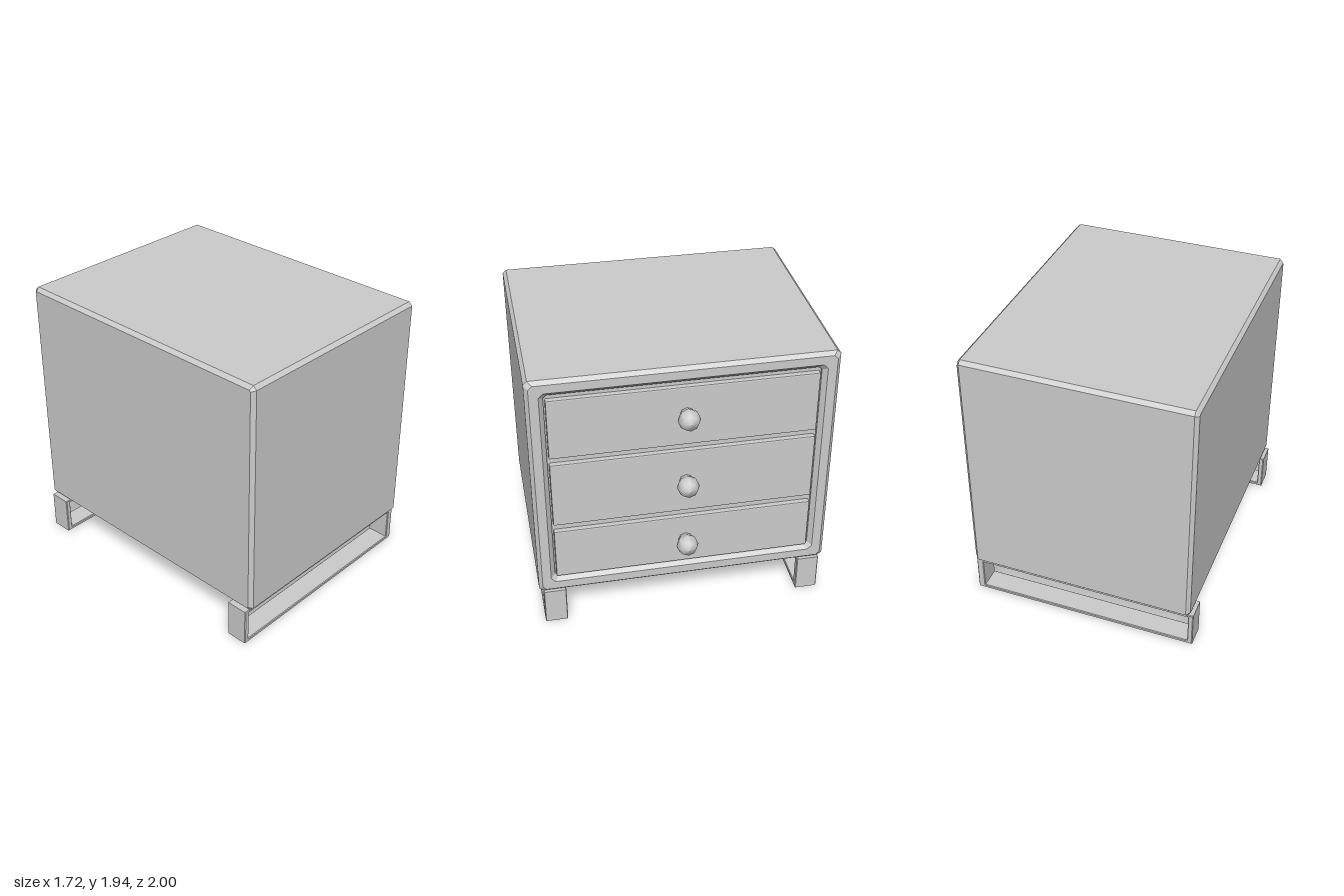
import * as THREE from 'three';
import { RoundedBoxGeometry } from 'three/addons/geometries/RoundedBoxGeometry.js';

const flat = new THREE.MeshStandardMaterial({ color: 0xcccccc, flatShading: true });
const smooth = new THREE.MeshStandardMaterial({ color: 0xcccccc });

const BOTTOM = 0.265, TOP = 1.94, HALF = 1;

function addMesh(parent, geometry, material, name) {
  const mesh = new THREE.Mesh(geometry, material);
  mesh.name = name;
  parent.add(mesh);
  return mesh;
}

// Rectangle with cut corners in the plane at x, counterclockwise seen from +x
function ring([x, inset, cut]) {
  const h = HALF - inset, lo = BOTTOM + inset, hi = TOP - inset;
  return [
    [h - cut, lo], [h, lo + cut], [h, hi - cut], [h - cut, hi],
    [cut - h, hi], [-h, hi - cut], [-h, lo + cut], [cut - h, lo],
  ].map(([u, y]) => [x, y, -u]);
}

// Cabinet shell: rings run from the back, over the front rim, into the recess
function cabinetGeometry() {
  const rings = [
    [-0.84, 0.025, 0.01], [-0.815, 0, 0.025], [0.708, 0, 0.025], [0.733, 0.025, 0.025],
    [0.733, 0.085, 0.03], [0.703, 0.115, 0.02], [0.685, 0.115, 0.02],
  ].map(ring);
  const pos = [];
  const tri = (...corners) => corners.forEach((c) => pos.push(...c));
  for (let i = 0; i < rings.length - 1; i++) {
    for (let k = 0; k < 8; k++) {
      const n = (k + 1) % 8, a = rings[i], b = rings[i + 1];
      tri(a[k], a[n], b[k]);
      tri(a[n], b[n], b[k]);
    }
  }
  const back = rings[0], front = rings[rings.length - 1];
  for (let k = 1; k < 7; k++) {
    tri(back[0], back[k + 1], back[k]);
    tri(front[0], front[k], front[k + 1]);
  }
  const g = new THREE.BufferGeometry();
  g.setAttribute('position', new THREE.Float32BufferAttribute(pos, 3));
  g.computeVertexNormals();
  return g;
}

function rectangle(Type, x0, x1, y0, y1) {
  return new Type([[x0, y0], [x1, y0], [x1, y1], [x0, y1]].map(([x, y]) => new THREE.Vector2(x, y)));
}

// Flat-bar sled leg: a long rectangular loop
function legGeometry() {
  const bevel = 0.005;
  const outline = rectangle(THREE.Shape, -0.86, 0.733, 0, 0.265);
  outline.holes.push(rectangle(THREE.Path, -0.825, 0.685, 0.025, 0.243));
  const g = new THREE.ExtrudeGeometry(outline, {
    depth: 0.155 - 2 * bevel, bevelEnabled: true, bevelSegments: 1,
    bevelSize: bevel, bevelThickness: bevel, bevelOffset: -bevel,
  });
  return g.translate(0, 0, -(0.155 - 2 * bevel) / 2);
}

// Faceted round knob with a tapered neck, pointing to +x
function knobGeometry() {
  const profile = [[0.042, 0.7], [0.048, 0.735], [0.066, 0.765], [0.075, 0.795], [0.055, 0.841], [0, 0.86]];
  const g = new THREE.LatheGeometry(profile.map(([r, y]) => new THREE.Vector2(r, y)), 8);
  return g.rotateZ(-Math.PI / 2);
}

export function createModel() {
  const model = new THREE.Group();
  model.name = 'drawerCabinet';

  addMesh(model, cabinetGeometry(), flat, 'cabinet');

  // Drawers with one knob each: bottom, top, knob height
  const knob = knobGeometry();
  [[0.385, 0.765, 0.58], [0.82, 1.305, 1.07], [1.355, 1.79, 1.592]].forEach(([y0, y1, knobY], i) => {
    const drawer = new THREE.Group();
    drawer.name = `drawer${i + 1}`;
    const panel = addMesh(drawer, new RoundedBoxGeometry(0.1, y1 - y0, 1.75, 1, 0.008), flat, 'drawerFront');
    panel.position.set(0.67, (y0 + y1) / 2, 0);
    addMesh(drawer, knob, smooth, 'knob').position.set(0, knobY, -0.01);
    model.add(drawer);
  });

  // Sled legs on both sides
  const leg = legGeometry();
  for (const side of [1, -1]) {
    addMesh(model, leg, flat, side > 0 ? 'frontLeg' : 'backLeg').position.z = side * 0.895;
  }
  return model;
}
